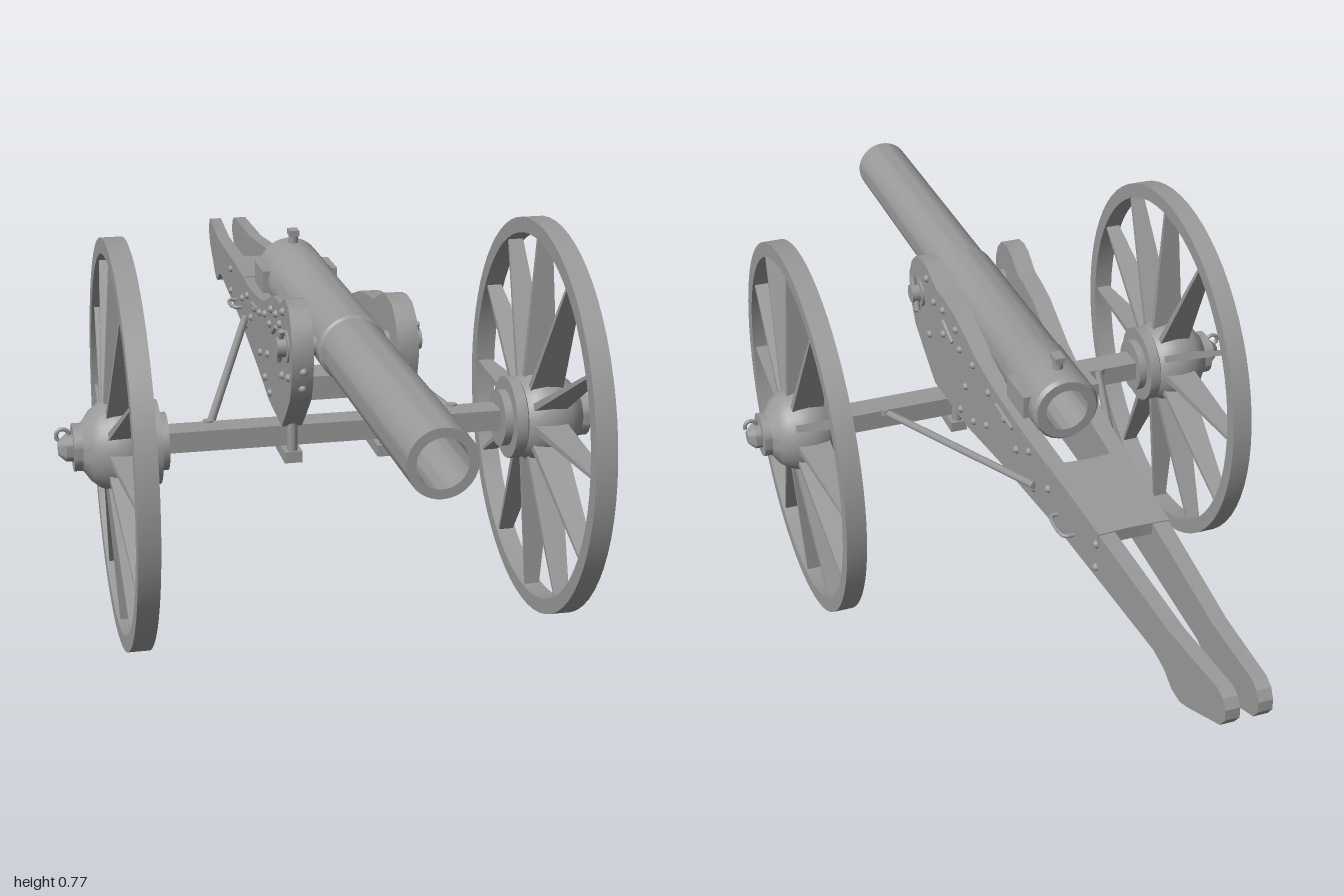
import * as THREE from 'three';
import { toCreasedNormals } from 'three/addons/utils/BufferGeometryUtils.js';

const mat = new THREE.MeshStandardMaterial({ color: 0x999999 });
const V = (x, y, z) => new THREE.Vector3(x, y, z);

function add(parent, name, geo, x = 0, y = 0, z = 0) {
  const m = new THREE.Mesh(geo, mat);
  m.name = name;
  m.position.set(x, y, z);
  parent.add(m);
  return m;
}
const box = (w, h, d) => new THREE.BoxGeometry(w, h, d);
const cyl = (r, h, n = 16, r2 = r) => new THREE.CylinderGeometry(r2, r, h, n);
const lathe = (pts, n) => toCreasedNormals(
  new THREE.LatheGeometry(pts.map(p => new THREE.Vector2(...p)), n), 0.6);

// Round bar between two points
function rod(parent, name, a, b, r) {
  const m = add(parent, name, cyl(r, a.distanceTo(b), 8));
  m.position.copy(a).lerp(b, 0.5);
  m.quaternion.setFromUnitVectors(V(0, 1, 0), b.clone().sub(a).normalize());
}

// Cheeks splay apart from the trail end to the trunnions
const outerX = z => 0.042 + (z + 1) * 0.053;
const innerX = z => 0.016 + (z + 1) * 0.043;

function cheekGeometry(s) {
  const top = [[-0.97, 0.52], [-0.8, 0.513], [-0.5, 0.535], [-0.2, 0.553], [-0.04, 0.573], [0.04, 0.59],
    [0.1, 0.612], [0.16, 0.634], [0.22, 0.643], [0.26, 0.645], [0.285, 0.657], [0.31, 0.67], [0.34, 0.674],
    [0.375, 0.667], [0.4, 0.645], [0.415, 0.615], [0.418, 0.58], [0.41, 0.54]];
  const bottom = [[0.39, 0.5], [0.33, 0.45], [0.28, 0.412], [0.1, 0.405], [-0.07, 0.42], [-0.37, 0.437],
    [-0.75, 0.437], [-0.79, 0.425], [-0.82, 0.404], [-0.85, 0.4], [-0.88, 0.41], [-0.985, 0.455],
    [-1, 0.475], [-1, 0.495], [-0.99, 0.512]];
  const shape = new THREE.Shape([...top, ...bottom].map(([z, y]) => new THREE.Vector2(-s * z, y)));
  const geo = new THREE.ExtrudeGeometry(shape, { depth: 1, bevelEnabled: false, steps: 1 });
  const p = geo.attributes.position;
  for (let i = 0; i < p.count; i++) {
    const z = -s * p.getX(i);
    p.setXYZ(i, s * THREE.MathUtils.lerp(innerX(z), outerX(z), p.getZ(i)), p.getY(i), z);
  }
  return toCreasedNormals(geo, 0.5);
}

// Wheel with its axis along local y, outward side up
function buildWheel(s) {
  const w = new THREE.Group();
  w.name = s > 0 ? 'leftWheel' : 'rightWheel';
  add(w, 'rim', lathe([[0.357, -0.02], [0.387, -0.02], [0.387, 0.02], [0.357, 0.02], [0.357, -0.02]], 64));
  add(w, 'hub', lathe([[0, -0.083], [0.055, -0.083], [0.055, -0.067], [0.08, -0.067], [0.08, -0.045],
    [0.075, -0.042], [0.085, -0.028], [0.09, 0], [0.087, 0.022], [0.079, 0.044], [0.066, 0.061], [0.05, 0.072],
    [0.045, 0.077], [0.045, 0.093], [0.026, 0.093], [0.026, 0.106], [0.013, 0.12], [0, 0.12]], 32));

  // Tapered blades, broad along the axle and thin around the wheel
  const spoke = cyl(0.048, 0.3, 4, 0.02).toNonIndexed();
  spoke.rotateY(Math.PI / 4).scale(0.22, 1, 1).translate(0, 0.215, 0).rotateX(Math.PI / 2);
  spoke.computeVertexNormals();
  for (let i = 0; i < 12; i++) add(w, 'spoke', spoke).rotation.y = i * Math.PI / 6;

  w.position.set(s * 0.407, 0.387, 0.245);
  w.rotation.z = -s * Math.PI / 2;
  return w;
}

function buildSide(g, s) {
  const side = new THREE.Group();
  side.name = s > 0 ? 'leftSide' : 'rightSide';
  g.add(side, buildWheel(s));
  add(side, 'cheek', cheekGeometry(s));

  // Hook at the axle tip
  add(side, 'axleHook', new THREE.TorusGeometry(0.012, 0.004, 8, 16, Math.PI * 1.3), s * 0.518, 0.412, 0.245)
    .rotation.z = s > 0 ? -0.4 : -0.4 + Math.PI * 0.1;

  // Trunnion, collar and key
  const trunnion = (name, r, x, len) => {
    add(side, name, cyl(r, len, 24), s * x, 0.592, 0.355).rotation.z = Math.PI / 2;
  };
  trunnion('trunnion', 0.019, 0.092, 0.086);
  trunnion('trunnionCollar', 0.03, 0.112, 0.012);
  rod(side, 'capKey', V(s * 0.126, 0.56, 0.335), V(s * 0.126, 0.625, 0.365), 0.006);

  // Bolts over the cheek face
  const bolts = [[0.38, 0.54], [0.31, 0.645], [0.27, 0.61], [0.22, 0.615], [0.15, 0.605], [0.3, 0.52],
    [0.22, 0.56], [0.13, 0.57], [0.06, 0.57], [0.1, 0.5], [0.13, 0.43], [0.06, 0.44], [-0.01, 0.47],
    [-0.02, 0.55], [-0.1, 0.535], [-0.16, 0.5], [-0.22, 0.53], [-0.24, 0.46], [-0.31, 0.5], [-0.52, 0.51], [-0.52, 0.46]];
  const boltGeo = new THREE.SphereGeometry(0.008, 10, 6);
  for (const [z, y] of bolts) add(side, 'bolt', boltGeo, s * outerX(z), y, z);
  for (const [y, z] of [[0.525, 0.402], [0.56, 0.414]]) add(side, 'noseBolt', boltGeo, s * 0.095, y, z);

  // Flat staples on the cheek
  for (const [z0, y0, z1, y1] of [[0.22, 0.59, 0.17, 0.565], [-0.06, 0.545, -0.14, 0.535]])
    rod(side, 'staple', V(s * outerX(z0), y0, z0), V(s * outerX(z1), y1, z1), 0.005);

  // Lifting handle on the trail
  const hx = outerX(-0.385) - 0.004;
  const path = new THREE.CatmullRomCurve3([V(s * hx, 0.468, -0.35), V(s * (hx + 0.018), 0.468, -0.352),
    V(s * (hx + 0.024), 0.467, -0.385), V(s * (hx + 0.018), 0.466, -0.418), V(s * hx, 0.466, -0.42)]);
  add(side, 'liftingHandle', new THREE.TubeGeometry(path, 20, 0.004, 8));

  // Diagonal brace from axle to cheek
  rod(side, 'brace', V(s * 0.235, 0.402, 0.21), V(s * 0.085, 0.472, -0.25), 0.008);
  add(side, 'braceFoot', cyl(0.01, 0.014, 10), s * 0.24, 0.405, 0.215);

  // Clamp under the axle
  add(side, 'axleClamp', box(0.034, 0.022, 0.11), s * 0.09, 0.354, 0.24);
  for (const z of [0.198, 0.282]) add(side, 'clampBolt', cyl(0.01, 0.09, 10), s * 0.09, 0.388, z);

  // Block beside the breech
  add(side, 'breechBlock', box(0.022, 0.045, 0.09), s * 0.066, 0.595, -0.125);
}

export function createModel() {
  const g = new THREE.Group();
  g.name = 'fieldGun';

  // Open barrel with a stepped breech
  add(g, 'barrel', lathe([[0.042, -0.2], [0.06, -0.2], [0.066, -0.192], [0.066, -0.03], [0.064, -0.025],
    [0.064, 0.395], [0.06, 0.4], [0.058, 1], [0.042, 1], [0.042, -0.2]], 40), 0, 0.592, 0).rotation.x = Math.PI / 2;

  // Rear sight
  add(g, 'sightPost', cyl(0.01, 0.035, 12), 0, 0.665, -0.15);
  add(g, 'sightHead', box(0.02, 0.012, 0.03), 0, 0.679, -0.15);

  // Axle and transom
  add(g, 'axle', box(0.68, 0.04, 0.055), 0, 0.389, 0.24);
  add(g, 'frontTransom', box(0.14, 0.045, 0.07), 0, 0.502, 0.3);

  // Trail plate with hollowed ends, lying flush with the cheek tops
  const plate = new THREE.Shape();
  plate.moveTo(-0.068, 0.53);
  plate.quadraticCurveTo(0, 0.525, 0.068, 0.53);
  plate.lineTo(0.078, 0.3);
  plate.quadraticCurveTo(0, 0.32, -0.078, 0.3);
  const plateGeo = new THREE.ExtrudeGeometry(plate, { depth: 0.025, bevelEnabled: false });
  plateGeo.translate(0, 0, -0.025);
  add(g, 'trailPlate', plateGeo, 0, 0.567, 0).rotation.x = -Math.PI / 2 - 0.06;

  for (const s of [1, -1]) buildSide(g, s);
  return g;
}
